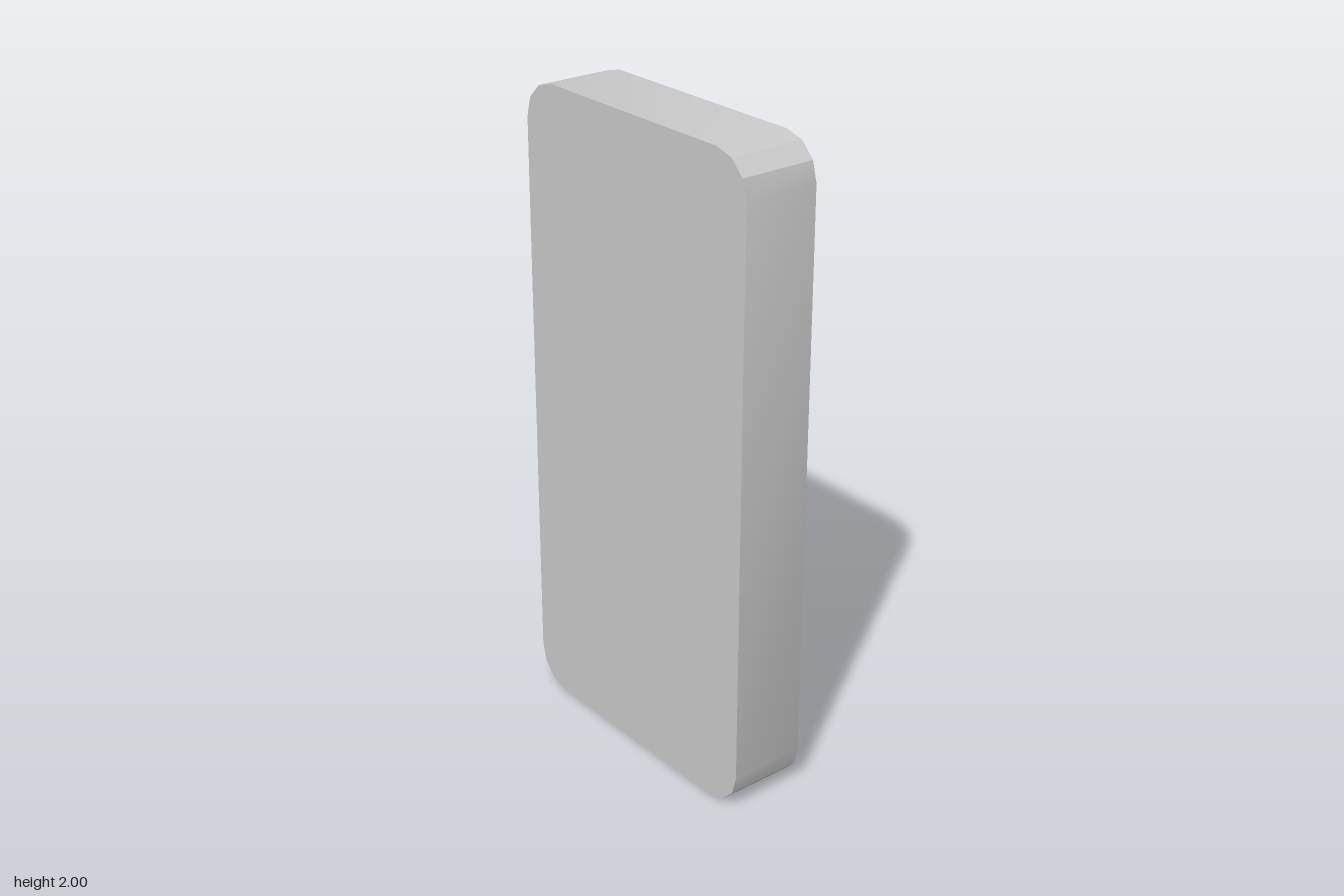
import * as THREE from 'three';
import { toCreasedNormals } from 'three/addons/utils/BufferGeometryUtils.js';

const HALF_W = 0.48, HEIGHT = 2, THICK = 0.24, CORNER = 0.12;
const PIP_R = 0.108, PIP_SIDES = 10;
const SLOT_DEPTH = 0.03;

const solid = new THREE.MeshStandardMaterial({ color: 0xcccccc });
const hollow = new THREE.MeshStandardMaterial({ color: 0xcccccc, side: THREE.DoubleSide, flatShading: true });

// Rounded outline: three straight segments per corner
function outlinePoints() {
  const pts = [];
  const cx = HALF_W - CORNER, top = HEIGHT - CORNER;
  [[cx, top], [-cx, top], [-cx, CORNER], [cx, CORNER]].forEach(([x, y], q) => {
    for (let i = 0; i <= 3; i++) {
      const a = (q + i / 3) * Math.PI / 2;
      pts.push(new THREE.Vector2(x + CORNER * Math.cos(a), y + CORNER * Math.sin(a)));
    }
  });
  return pts;
}

function pipPoints(x, y) {
  return Array.from({ length: PIP_SIDES }, (_, i) => {
    const a = i / PIP_SIDES * Math.PI * 2;
    return new THREE.Vector2(x + PIP_R * Math.cos(a), y + PIP_R * Math.sin(a));
  });
}

// Side walls of an extruded outline, without its caps
function walls(points, depth) {
  const full = new THREE.ExtrudeGeometry(new THREE.Shape(points), { depth, bevelEnabled: false });
  const { start, count } = full.groups[1];
  const geo = new THREE.BufferGeometry();
  const pos = full.attributes.position.array.slice(start * 3, (start + count) * 3);
  geo.setAttribute('position', new THREE.BufferAttribute(pos, 3));
  return toCreasedNormals(geo, 0.4);
}

export function createModel() {
  const model = new THREE.Group();
  model.name = 'dominoTile';
  const tile = new THREE.Group();
  tile.name = 'tile';
  model.add(tile);

  const add = (name, geo, material, x = 0, y = 0, z = 0) => {
    const mesh = new THREE.Mesh(geo, material);
    mesh.name = name;
    mesh.position.set(x, y, z);
    tile.add(mesh);
  };

  // Five pips on each half
  const pips = [];
  for (const base of [0, 1]) {
    pips.push([0, base + 0.502]);
    for (const x of [-0.241, 0.241])
      for (const y of [0.252, 0.752]) pips.push([x, base + y]);
  }

  const outline = outlinePoints();
  const slot = [[-0.396, 0.969], [0.382, 0.969], [0.382, 1.036], [-0.396, 1.036]]
    .map(([x, y]) => new THREE.Vector2(x, y));

  // Pip face with openings
  const face = new THREE.Shape(outline);
  face.holes = [slot, ...pips.map(([x, y]) => pipPoints(x, y))].map(p => new THREE.Path(p));
  add('pipFace', new THREE.ShapeGeometry(face), solid, 0, 0, THICK / 2);

  // Plain back and rounded rim
  add('backFace', new THREE.ShapeGeometry(new THREE.Shape(outline)).rotateY(Math.PI), solid, 0, 0, -THICK / 2);
  add('rim', walls(outline, THICK), solid, 0, 0, -THICK / 2);

  // Faceted bowls sunk into the face
  const bowl = new THREE.SphereGeometry(PIP_R, PIP_SIDES, 5, 0, Math.PI * 2, 0, Math.PI / 2).rotateX(-Math.PI / 2);
  pips.forEach(([x, y], i) => add(`pip${i + 1}`, bowl, hollow, x, y, THICK / 2));

  // Dividing groove
  add('grooveWalls', walls(slot, SLOT_DEPTH), hollow, 0, 0, THICK / 2 - SLOT_DEPTH);
  add('grooveFloor', new THREE.ShapeGeometry(new THREE.Shape(slot)), solid, 0, 0, THICK / 2 - SLOT_DEPTH);

  // Turn the pip face toward +x
  tile.rotation.y = Math.PI / 2;
  return model;
}
